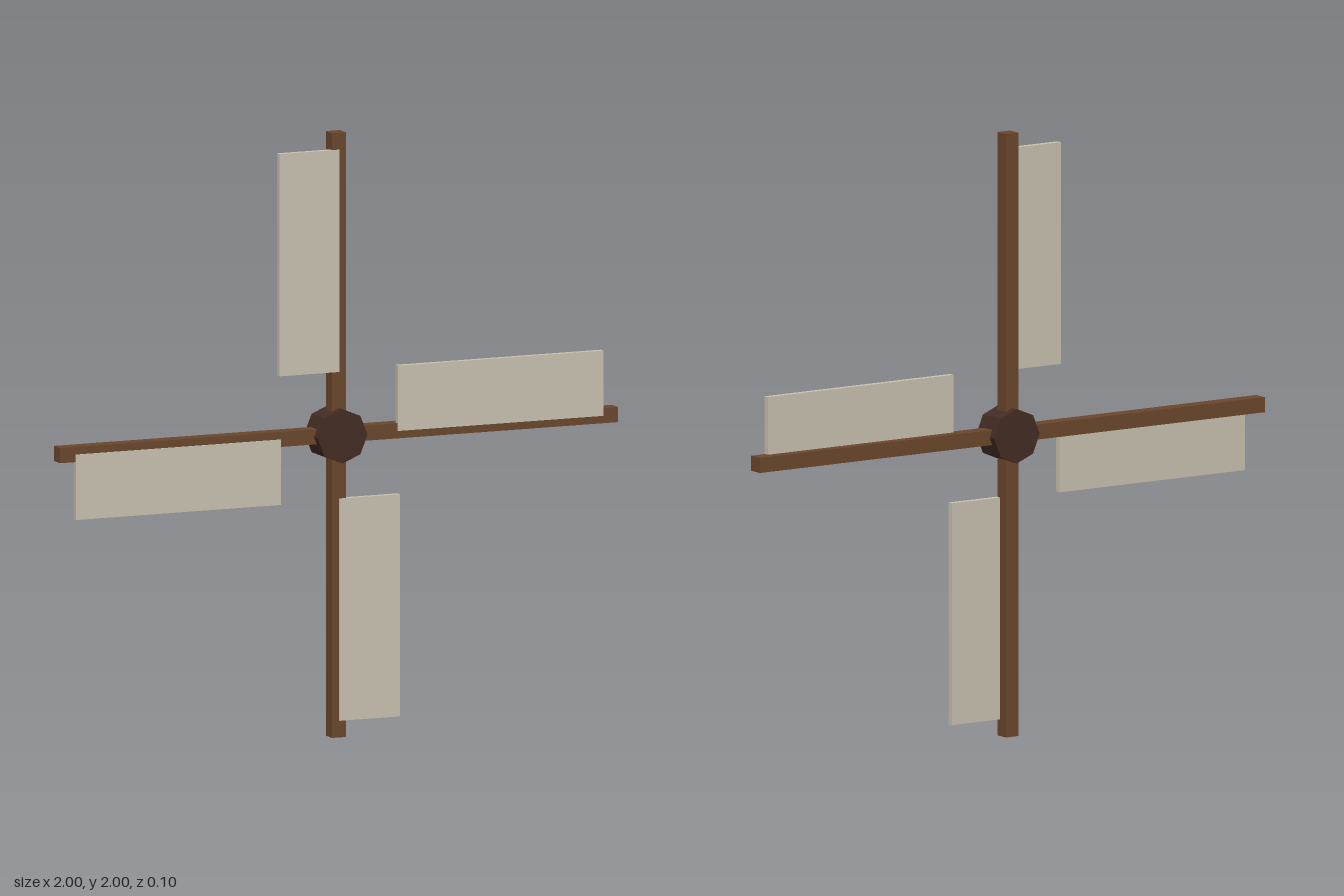
import * as THREE from 'three';

const material = (name, color) => {
  const m = new THREE.MeshStandardMaterial({ color, flatShading: true });
  m.name = name;
  return m;
};

export function createModel() {
  const wood = material('brown wood', 0x6b472c);
  const darkWood = material('dark wood', 0x432c22);
  const canvas = material('pale canvas', 0xc8c1af);

  const model = new THREE.Group();
  model.name = 'windmillSails';

  const addPart = (parent, name, geometry, mat, x, y, z) => {
    const mesh = new THREE.Mesh(geometry, mat);
    mesh.name = name;
    mesh.position.set(x, y, z);
    parent.add(mesh);
    return mesh;
  };

  const rotor = new THREE.Group();
  rotor.name = 'rotor';
  rotor.position.y = 1;
  model.add(rotor);

  // Octagonal hub with its axis facing the front
  const hub = addPart(rotor, 'hub', new THREE.CylinderGeometry(0.09, 0.09, 0.104, 8), darkWood, 0, 0, 0);
  hub.rotation.x = Math.PI / 2;

  // Four blades, each an arm with a sail panel along one side
  const armGeometry = new THREE.BoxGeometry(0.95, 0.05, 0.05);
  const sailGeometry = new THREE.BoxGeometry(0.735, 0.216, 0.02);
  for (let i = 0; i < 4; i++) {
    const blade = new THREE.Group();
    blade.name = `blade${i + 1}`;
    blade.rotation.z = i * Math.PI / 2;
    addPart(blade, 'arm', armGeometry, wood, 0.525, 0, 0);
    addPart(blade, 'sail', sailGeometry, canvas, 0.577, 0.108, 0.019);
    rotor.add(blade);
  }
  return model;
}
